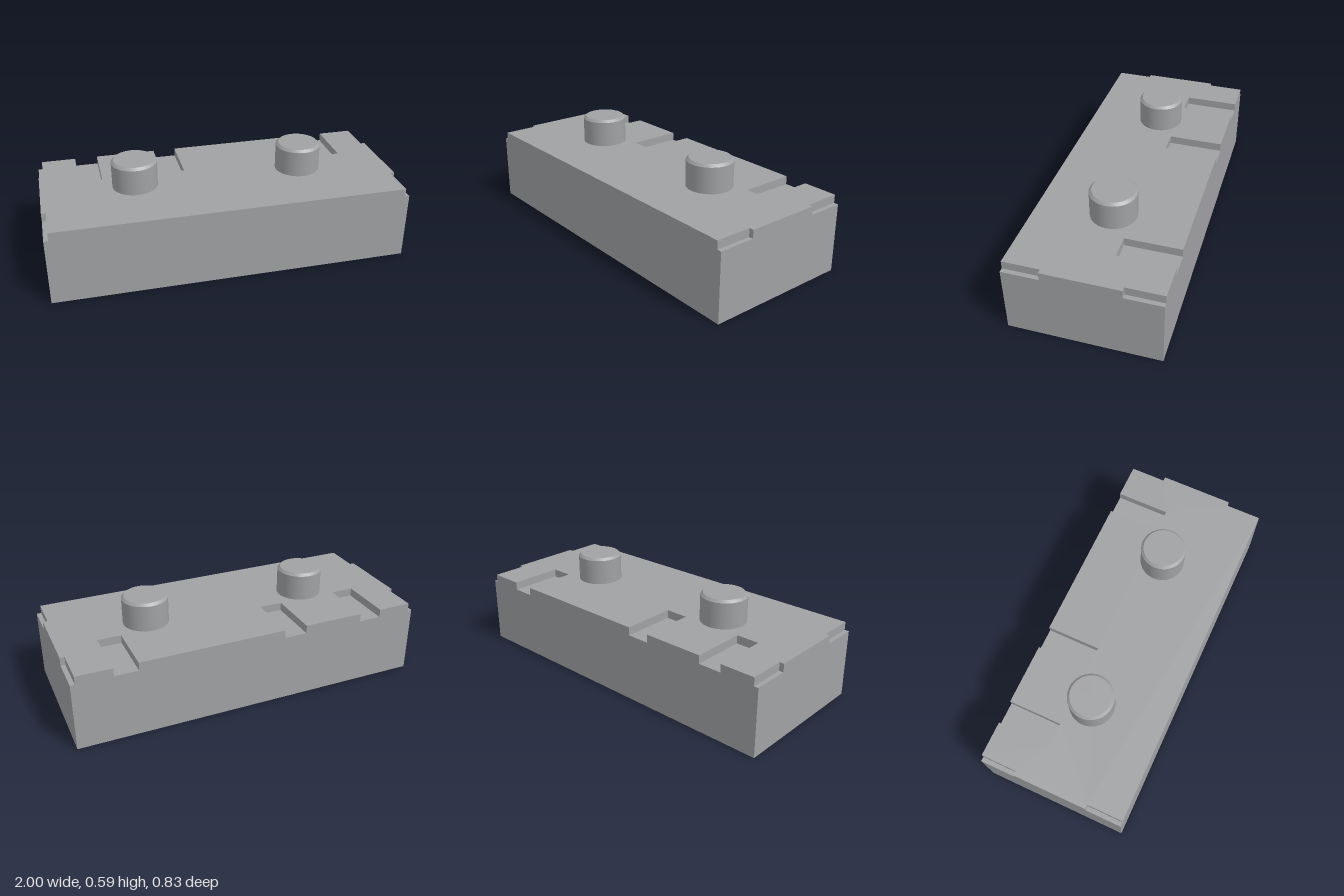
import * as THREE from 'three';

const W = 1, D = 0.413;          // half width and half depth
const FLOOR = 0.382, TOP = 0.428; // recess floor and deck height
const NOTCH_X = 0.975, NOTCH_Z = 0.21; // inner limits of the corner notches
const SLOT_Z = 0.108, SLOT_W = 0.13;
const SLOT_CENTRES = [-0.715, -0.24, 0.715];

export function createModel() {
  const group = new THREE.Group();
  const grey = new THREE.MeshStandardMaterial({ color: 0xa0a1a3 });
  grey.name = 'grey';
  const add = (name, geometry, x, y, z) => {
    const mesh = new THREE.Mesh(geometry, grey);
    mesh.name = name;
    mesh.position.set(x, y, z);
    group.add(mesh);
  };

  // Solid lower block
  add('block', new THREE.BoxGeometry(2 * W, FLOOR, 2 * D), 0, FLOOR / 2, 0);

  // Deck outline (shape y is -z): corner notches at the ends, slots open to the back
  const outline = [
    [-NOTCH_X, -D], [NOTCH_X, -D], [NOTCH_X, -NOTCH_Z], [W, -NOTCH_Z],
    [W, NOTCH_Z], [NOTCH_X, NOTCH_Z], [NOTCH_X, D],
  ];
  for (const c of [...SLOT_CENTRES].reverse()) {
    const r = c + SLOT_W / 2, l = c - SLOT_W / 2;
    outline.push([r, D], [r, SLOT_Z], [l, SLOT_Z], [l, D]);
  }
  outline.push([-NOTCH_X, D], [-NOTCH_X, NOTCH_Z], [-W, NOTCH_Z],
    [-W, -NOTCH_Z], [-NOTCH_X, -NOTCH_Z]);
  const shape = new THREE.Shape(outline.map(([x, y]) => new THREE.Vector2(x, y)));
  const deck = new THREE.ExtrudeGeometry(shape, { depth: TOP - FLOOR, bevelEnabled: false });
  deck.rotateX(-Math.PI / 2);
  add('notchedDeck', deck, 0, FLOOR, 0);

  // Two chamfered pegs, each made of a shaft and a bevelled cap
  for (const [side, x] of [['right', -0.476], ['left', 0.476]]) {
    add(side + 'PegShaft', new THREE.CylinderGeometry(0.127, 0.127, 0.146, 48, 1, true), x, TOP + 0.073, 0);
    add(side + 'PegCap', new THREE.CylinderGeometry(0.113, 0.127, 0.014, 48), x, TOP + 0.153, 0);
  }
  return group;
}
